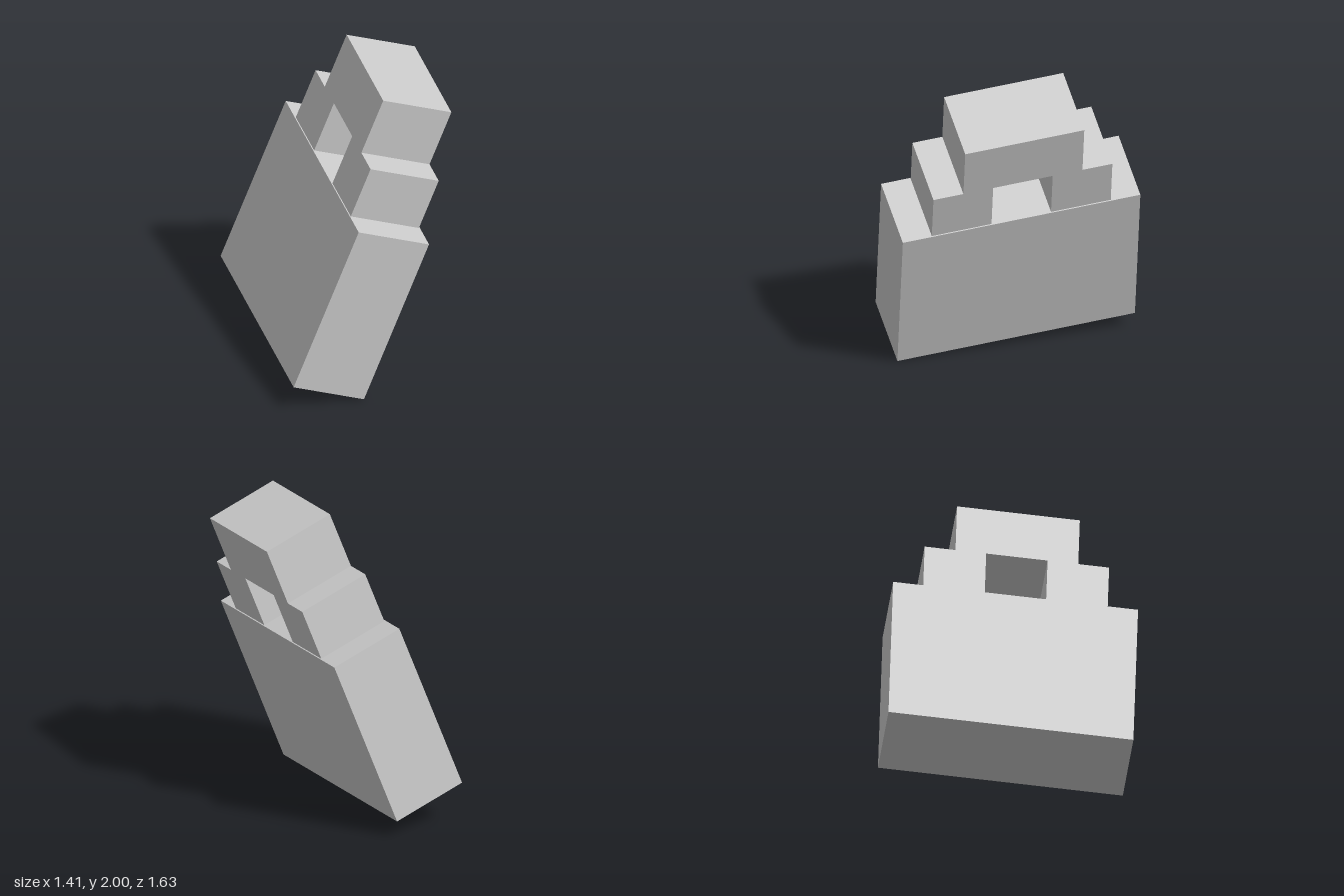
import * as THREE from 'three';

const BASE_H = 1.14, POST_H = 0.347, TOP_H = 0.383;

export function createModel() {
  const model = new THREE.Group();
  const tower = new THREE.Group();
  tower.name = 'tiltedSteppedBlock';
  model.add(tower);
  const material = new THREE.MeshStandardMaterial({ color: 0xcccccc, flatShading: true });

  // a block standing on height y, centred on x offset
  function block(name, width, height, depth, x, y) {
    const mesh = new THREE.Mesh(new THREE.BoxGeometry(width, height, depth), material);
    mesh.name = name;
    mesh.position.set(x, y + height / 2, 0);
    tower.add(mesh);
  }

  block('base', 1.516, BASE_H, 0.485, 0, 0);
  // two posts with a square opening between them
  for (const side of [-1, 1]) {
    block(side < 0 ? 'frontPost' : 'backPost', 0.381, POST_H, 0.47, side * 0.3805, BASE_H);
  }
  // cap bridging the posts
  block('cap', 0.76, TOP_H, 0.47, 0, BASE_H + POST_H);

  // lean the whole stack
  const up = new THREE.Vector3(0.35, 0.936, -0.039).normalize();
  const across = new THREE.Vector3(-0.2935, 0.0726, -0.953);
  across.addScaledVector(up, -across.dot(up)).normalize();
  const through = new THREE.Vector3().crossVectors(across, up);
  tower.quaternion.setFromRotationMatrix(new THREE.Matrix4().makeBasis(across, up, through));
  tower.position.set(-0.272, 0.139, 0.022);
  return model;
}
